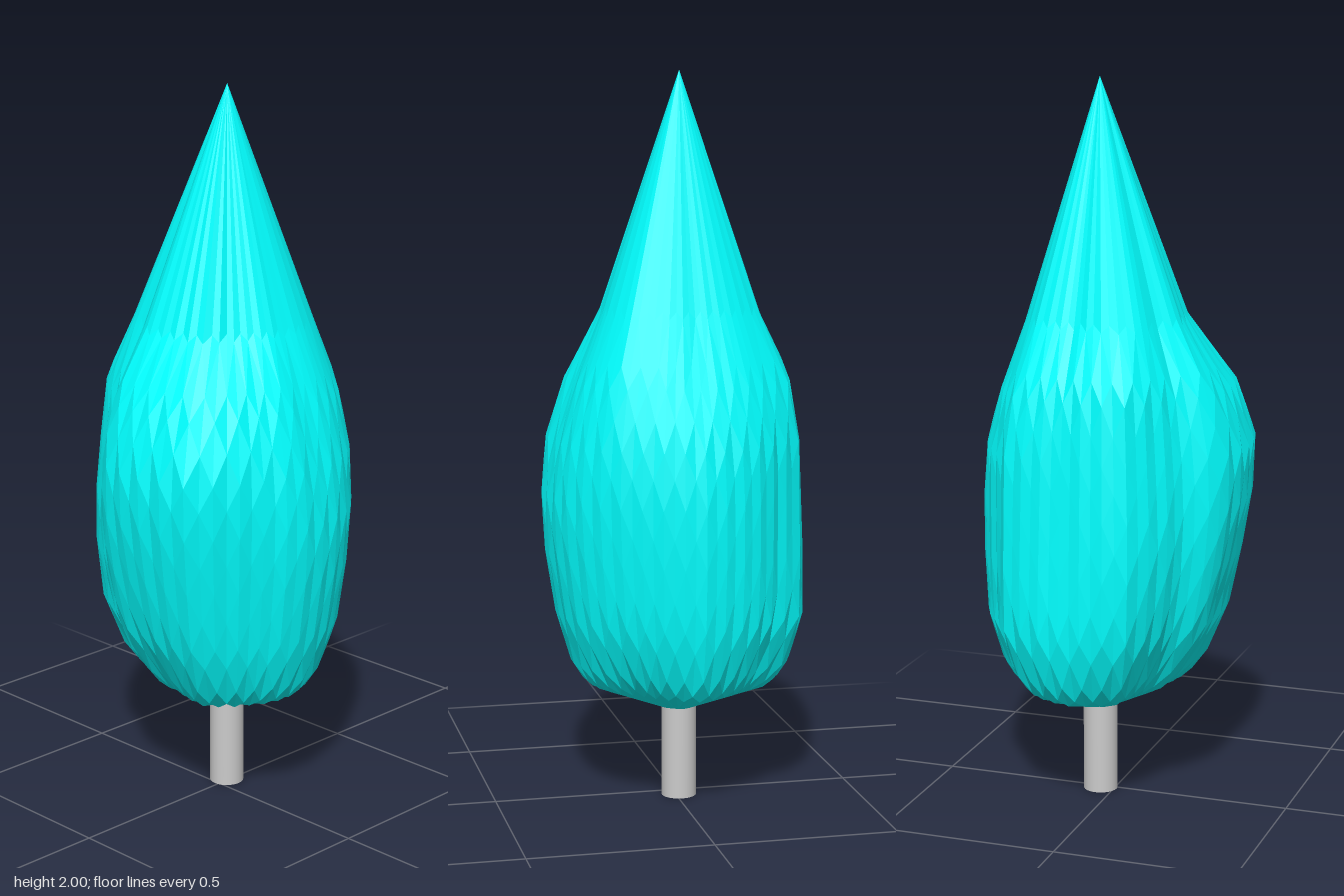
import * as THREE from 'three';

const CX = 0.04, CZ = -0.01;   // trunk axis
const COLS = 72;

// Widest crown radius every 15 degrees, from +x towards +z
const OUTLINE = [0.335, 0.333, 0.333, 0.346, 0.356, 0.366, 0.371, 0.386, 0.386, 0.407, 0.441, 0.417,
  0.408, 0.4, 0.346, 0.36, 0.39, 0.362, 0.34, 0.343, 0.346, 0.317, 0.32, 0.323];

// Share of the widest radius at each height, one row every 45 degrees
const HEIGHTS = [0.25, 0.33, 0.42, 0.55, 0.75, 0.9, 1.05, 1.2, 1.36, 2];
const PROFILES = [
  [0.1, 0.78, 0.91, 0.97, 1.00, 0.99, 0.91, 0.73, 0.56, 0],
  [0.1, 0.62, 0.80, 0.91, 0.97, 1.00, 0.97, 0.87, 0.69, 0],
  [0.1, 0.70, 0.85, 0.92, 1.00, 0.99, 0.90, 0.76, 0.58, 0],
  [0.1, 0.65, 0.79, 0.87, 0.95, 1.00, 1.00, 0.84, 0.52, 0],
  [0.1, 0.49, 0.67, 0.83, 0.94, 1.00, 0.99, 0.84, 0.59, 0],
  [0.1, 0.57, 0.78, 0.92, 1.00, 0.98, 0.93, 0.89, 0.71, 0],
  [0.1, 0.82, 0.97, 1.02, 0.98, 0.95, 0.92, 0.86, 0.60, 0],
  [0.1, 0.70, 0.88, 1.00, 1.00, 1.00, 1.00, 0.87, 0.67, 0],
];

// Value of a closed list at turn t (0..1)
function around(list, t) {
  const f = t * list.length, i = Math.floor(f);
  return THREE.MathUtils.lerp(list[i % list.length], list[(i + 1) % list.length], f - i);
}

function share(profile, y) {
  let i = 0;
  while (i < HEIGHTS.length - 2 && y > HEIGHTS[i + 1]) i++;
  const f = (y - HEIGHTS[i]) / (HEIGHTS[i + 1] - HEIGHTS[i]);
  return THREE.MathUtils.lerp(profile[i], profile[i + 1], f);
}

function crownGeometry() {
  // Height of each ring and how far alternate columns step up and down
  const rows = [[0.25, 0], [0.25, 0], [0.335, 0.01], [0.43, 0.04], [0.57, 0.04], [0.74, 0.04],
    [0.9, 0.04], [1.05, 0.04], [1.2, 0.03], [1.36, 0.01], [2, 0]];
  const last = rows.length - 1;
  const positions = [], indices = [];
  rows.forEach(([rowY, step], i) => {
    for (let j = 0; j < COLS; j++) {
      const t = j / COLS, angle = t * Math.PI * 2;
      const sign = j % 2 ? 1 : -1;
      const y = rowY + step * sign;
      // Shallow pleats, fading out towards the smooth tip and underside
      const ridge = 0.99 - 0.15 * step * sign;
      const closed = i === 0 || i === last;
      const r = closed ? 0 : ridge * around(OUTLINE, t) * around(PROFILES.map(p => share(p, y)), t);
      positions.push(CX + r * Math.cos(angle), y, CZ + r * Math.sin(angle));
      if (i === last) continue;
      const a = i * COLS + j, b = i * COLS + (j + 1) % COLS, c = a + COLS, d = b + COLS;
      if (i === last - 1) indices.push(a, c, b);
      else if (i === 0) indices.push(a, c, d);
      else if (j % 2) indices.push(a, c, d, a, d, b);
      else indices.push(a, c, b, b, c, d);
    }
  });
  const geometry = new THREE.BufferGeometry();
  geometry.setAttribute('position', new THREE.Float32BufferAttribute(positions, 3));
  geometry.setIndex(indices);
  geometry.computeVertexNormals();
  return geometry;
}

export function createModel() {
  const group = new THREE.Group();
  group.name = 'tree';

  // Pointed, pleated foliage
  const crown = new THREE.Mesh(crownGeometry(),
    new THREE.MeshStandardMaterial({ color: 0x00ffff, flatShading: true }));
  crown.name = 'crown';

  // Plain round trunk
  const trunk = new THREE.Mesh(new THREE.CylinderGeometry(0.048, 0.048, 0.26, 24),
    new THREE.MeshStandardMaterial({ color: 0xcccccc }));
  trunk.name = 'trunk';
  trunk.position.set(CX, 0.13, CZ);

  group.add(crown, trunk);
  return group;
}
